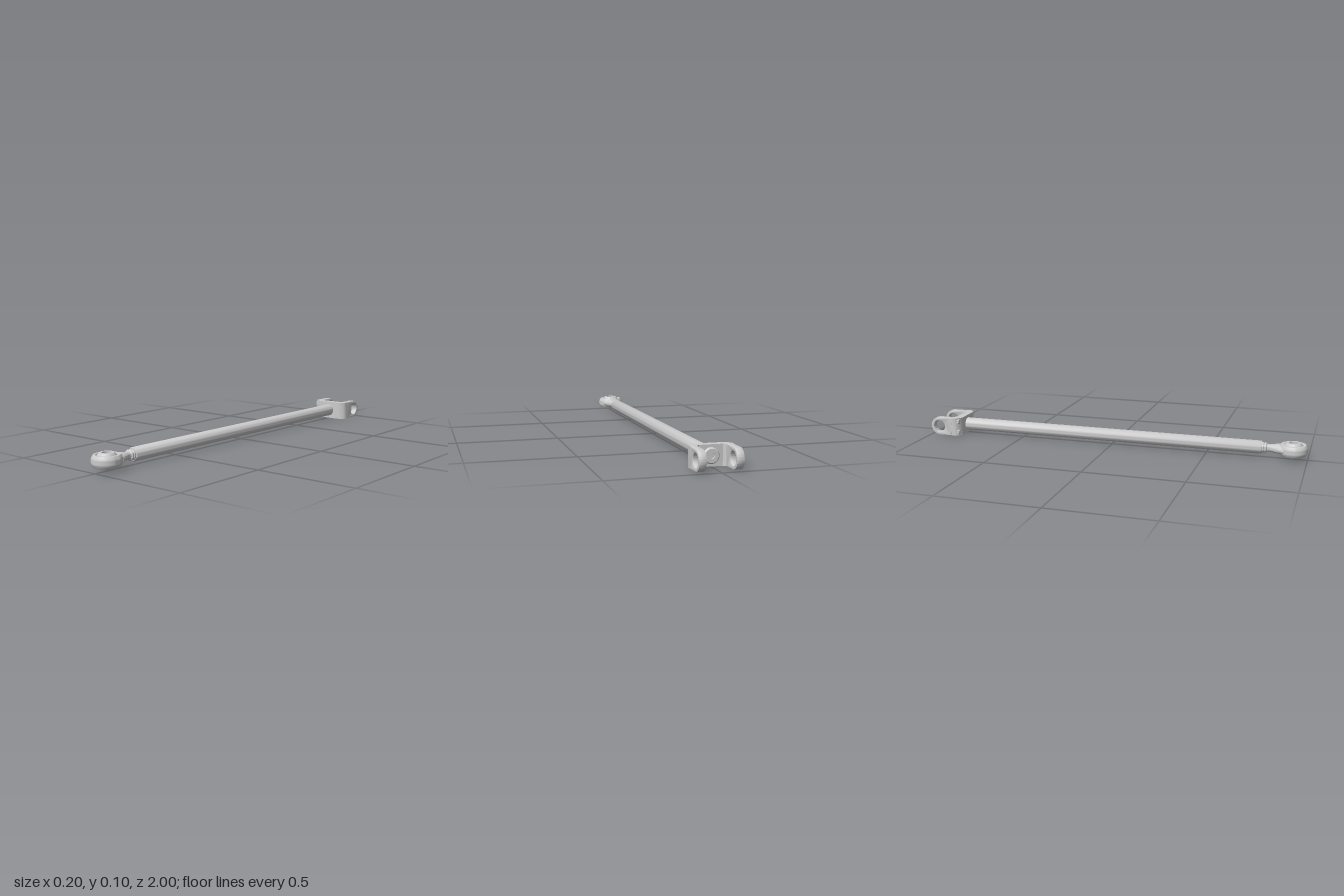
import * as THREE from 'three';
import { toCreasedNormals } from 'three/addons/utils/BufferGeometryUtils.js';

const AXIS_Y = 0.048;
const EYE_Z = 0.926;
const PIN_Z = -0.952;

export function createModel() {
  const model = new THREE.Group();
  model.name = 'linkRod';
  const material = new THREE.MeshStandardMaterial({ color: 0xcccccc });

  const add = (name, geometry, x = 0, y = 0, z = 0, parent = model) => {
    const mesh = new THREE.Mesh(toCreasedNormals(geometry, 0.6), material);
    mesh.name = name;
    mesh.position.set(x, y, z);
    parent.add(mesh);
    return mesh;
  };
  const lathe = (points, segments = 40) =>
    new THREE.LatheGeometry(points.map(([r, h]) => new THREE.Vector2(r, h)), segments);
  // Turned part lying along the z axis
  const turned = (points, segments) => lathe(points, segments).rotateX(Math.PI / 2);

  // Long shaft with chamfered front end
  add('shaft', turned([[0, -0.85], [0.033, -0.85], [0.033, 0.772], [0.029, 0.779], [0, 0.779]]), 0, AXIS_Y);

  // Threaded collar and narrow stud
  add('collar', turned([[0, 0.77], [0.026, 0.77], [0.026, 0.785], [0.023, 0.788],
    [0.026, 0.791], [0.026, 0.798], [0.02, 0.803], [0.018, 0.83], [0, 0.83]]), 0, AXIS_Y);

  // Tapered neck, flattening as it widens into the eye
  const neck = new THREE.CylinderGeometry(0.058, 0.018, 0.076, 32, 6).rotateX(Math.PI / 2);
  const p = neck.attributes.position;
  for (let i = 0; i < p.count; i++) {
    const t = p.getZ(i) / 0.076 + 0.5;
    const radius = 0.018 + 0.04 * t;
    p.setY(i, p.getY(i) * (0.018 + 0.008 * t) / radius);
  }
  neck.computeVertexNormals();
  add('neck', neck, 0, AXIS_Y, 0.848);

  // Eye: bulged outer ring around a spherical bearing
  const ring = [[0.047, -0.023], [0.05, -0.027], [0.061, -0.027]];
  for (let i = -3; i <= 3; i++) {
    const h = i * 0.007;
    ring.push([0.071 - 0.007 * (h / 0.023) ** 2, h]);
  }
  ring.push([0.061, 0.027], [0.05, 0.027], [0.047, 0.023], [0.047, -0.023]);
  add('eyeRing', lathe(ring, 48), 0, AXIS_Y, EYE_Z + 0.003);

  const ball = [[0.022, -0.036]];
  for (let i = -6; i <= 6; i++) {
    const h = i * 0.006;
    ball.push([Math.sqrt(0.05 ** 2 - h * h), h]);
  }
  ball.push([0.022, 0.036], [0.022, -0.036]);
  add('bearingBall', lathe(ball), 0, AXIS_Y, EYE_Z + 0.003);

  // Fork bridge: plan outline with bevelled corners, extruded upward
  const fork = new THREE.Group();
  fork.name = 'fork';
  model.add(fork);
  const plan = new THREE.Shape();
  [[-0.1, 0.88], [-0.1, 0.859], [-0.094, 0.848], [-0.074, 0.833], [-0.062, 0.83],
    [0.062, 0.83], [0.074, 0.833], [0.094, 0.848], [0.1, 0.859], [0.1, 0.88],
    [0.066, 0.88], [0.054, 0.867], [-0.054, 0.867], [-0.066, 0.88]]
    .forEach(([x, y], i) => (i ? plan.lineTo(x, y) : plan.moveTo(x, y)));
  const bridge = new THREE.ExtrudeGeometry(plan, { depth: 0.096, bevelEnabled: false });
  add('forkBridge', bridge.rotateX(-Math.PI / 2), 0, 0, 0, fork);

  // Fork arms: round-ended plates with a pin hole
  const side = new THREE.Shape();
  side.moveTo(-0.88, 0);
  side.lineTo(-0.88, 0.096);
  side.lineTo(PIN_Z, 0.096);
  side.absarc(PIN_Z, AXIS_Y, 0.048, Math.PI / 2, Math.PI * 1.5, false);
  side.closePath();
  const hole = new THREE.Path();
  hole.absarc(PIN_Z, AXIS_Y, 0.032, 0, Math.PI * 2, true);
  side.holes.push(hole);
  for (const s of [-1, 1]) {
    const arm = new THREE.ExtrudeGeometry(side, {
      depth: 0.028, bevelEnabled: true, bevelSize: 0.003, bevelOffset: -0.003,
      bevelThickness: 0.003, bevelSegments: 2, curveSegments: 20,
    });
    // Shape x becomes z, extrusion becomes x
    arm.translate(0, 0, -0.014).rotateY(-Math.PI / 2);
    add(s > 0 ? 'leftArm' : 'rightArm', arm, s * 0.083, 0, 0, fork);
  }

  // Washer-like shaft end inside the fork
  add('shaftEndWasher', turned([[0.014, -0.862], [0.014, -0.88], [0.031, -0.88],
    [0.036, -0.875], [0.036, -0.862]]), 0, AXIS_Y, 0, fork);
  add('shaftEndRecess', turned([[0, -0.87], [0.015, -0.87], [0.015, -0.86], [0, -0.86]]), 0, AXIS_Y, 0, fork);

  // Two small bolts on the bevelled right corner
  for (const y of [0.019, 0.077]) {
    add('cornerBolt', turned([[0, -0.012], [0.016, -0.012], [0.016, 0.008], [0.012, 0.012], [0, 0.012]], 6),
      -0.082, y, -0.85, fork);
  }

  return model;
}
